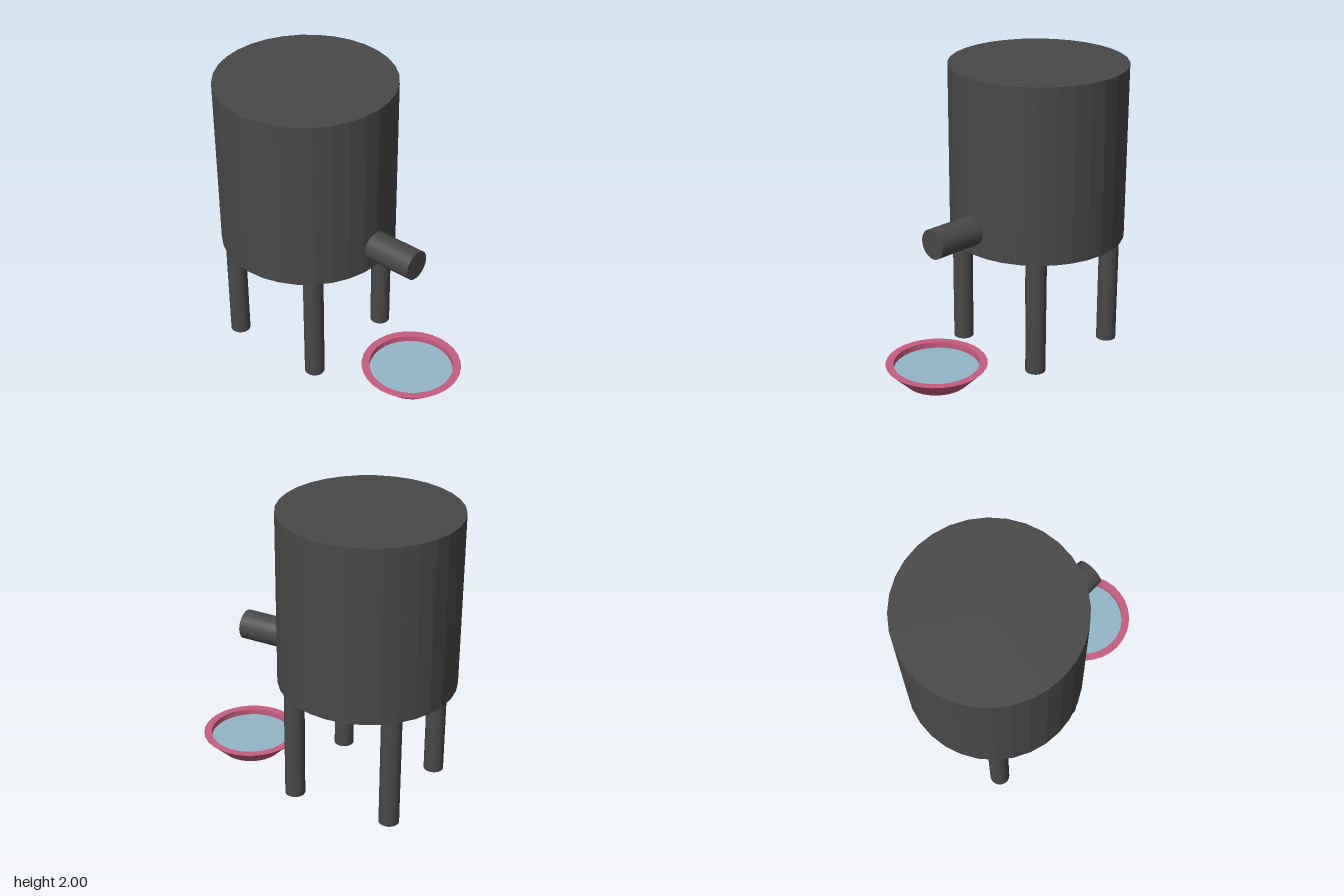
import * as THREE from 'three';

const SIDES = 32;
const TANK_Z = -0.33;

const material = (color) => new THREE.MeshStandardMaterial({ color, flatShading: true });

export function createModel() {
  const group = new THREE.Group();
  const metal = material(0x484848);
  const pink = material(0xc85c80);
  const blue = material(0x92b6c8);

  const add = (name, geometry, mat, x, y, z) => {
    const mesh = new THREE.Mesh(geometry, mat);
    mesh.name = name;
    mesh.position.set(x, y, z);
    group.add(mesh);
    return mesh;
  };

  // Upright drum
  add('tank', new THREE.CylinderGeometry(0.595, 0.595, 1.19, SIDES), metal, 0, 1.405, TANK_Z);

  // Four round legs, reaching slightly into the drum
  const legGeometry = new THREE.CylinderGeometry(0.068, 0.068, 0.86, SIDES);
  for (const [side, x] of [['Left', 0.353], ['Right', -0.364]]) {
    for (const [end, z] of [['front', 0.026], ['back', -0.678]]) {
      add(`${end}${side}Leg`, legGeometry, metal, x, 0.43, z);
    }
  }

  // Spout pointing forward out of the drum
  const spoutGeometry = new THREE.CylinderGeometry(0.1, 0.1, 0.4, SIDES).rotateX(Math.PI / 2);
  add('spout', spoutGeometry, metal, -0.01, 0.977, 0.4);

  // Flared bowl with a flat rim and a straight inner wall
  const bowlProfile = [
    [0, 0], [0.215, 0], [0.338, 0.125], [0.285, 0.125], [0.285, 0.08],
  ].map(([r, y]) => new THREE.Vector2(r, y));
  add('bowl', new THREE.LatheGeometry(bowlProfile, SIDES), pink, -0.008, 0, 0.587);

  // Water surface inside the bowl
  const waterGeometry = new THREE.CircleGeometry(0.285, SIDES).rotateX(-Math.PI / 2);
  add('water', waterGeometry, blue, -0.008, 0.083, 0.587);

  return group;
}
